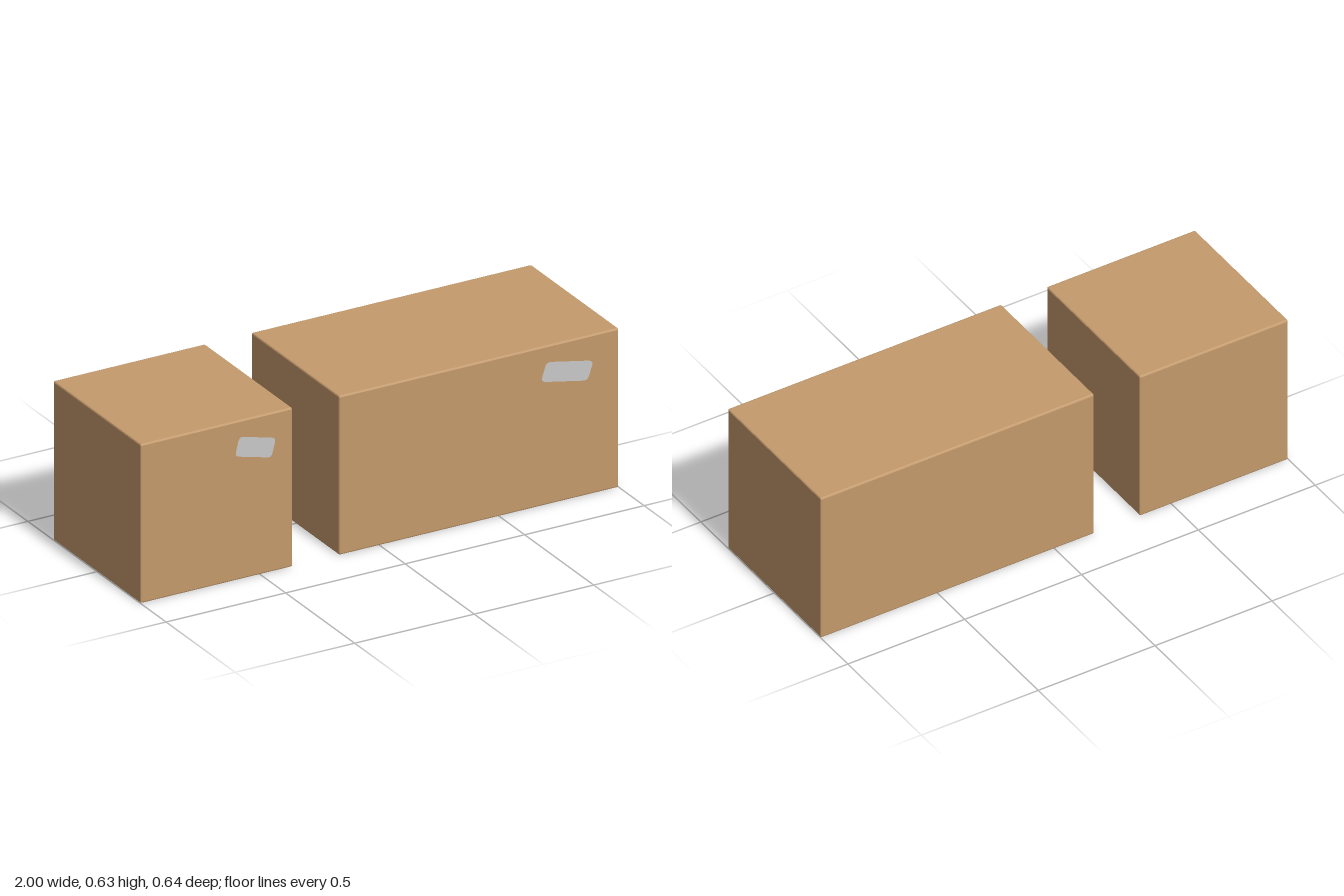
import * as THREE from 'three';
import { RoundedBoxGeometry } from 'three/addons/geometries/RoundedBoxGeometry.js';

const SIDE = 0.635;

// Small tilted label with rounded corners
function labelGeometry(w, h, r, stretch) {
  const x = w / 2, y = h / 2;
  const s = new THREE.Shape();
  s.moveTo(-x + r, -y);
  s.lineTo(x - r, -y);
  s.quadraticCurveTo(x, -y, x, -y + r);
  s.lineTo(x, y - r);
  s.quadraticCurveTo(x, y, x - r, y);
  s.lineTo(-x + r, y);
  s.quadraticCurveTo(-x, y, -x, y - r);
  s.lineTo(-x, -y + r);
  s.quadraticCurveTo(-x, -y, -x + r, -y);
  return new THREE.ShapeGeometry(s, 4).rotateZ(-0.25).scale(stretch, 1, 1);
}

export function createModel() {
  const model = new THREE.Group();
  model.name = 'cardboardBoxes';

  const cardboard = new THREE.MeshStandardMaterial({ color: 0xc49a6c });
  cardboard.name = 'cardboard';
  const labelGrey = new THREE.MeshStandardMaterial({ color: 0xc8c8c8 });
  labelGrey.name = 'labelGrey';

  const boxes = [
    { name: 'cubeBox', x0: -1, x1: -0.365, labelX: -0.521, stretch: 1 },
    { name: 'longBox', x0: -0.17, x1: 1, labelX: 0.783, stretch: 1.28 },
  ];

  for (const b of boxes) {
    const group = new THREE.Group();
    group.name = b.name;

    // Carton with finely bevelled, hard-shaded edges
    const geometry = new RoundedBoxGeometry(b.x1 - b.x0, SIDE, SIDE, 1, 0.006);
    geometry.computeVertexNormals();
    const carton = new THREE.Mesh(geometry, cardboard);
    carton.name = 'carton';
    carton.position.set((b.x0 + b.x1) / 2, SIDE / 2, 0);

    // Label on the front face
    const label = new THREE.Mesh(labelGeometry(0.158, 0.077, 0.018, b.stretch), labelGrey);
    label.name = 'label';
    label.position.set(b.labelX, 0.514, SIDE / 2 + 0.001);

    group.add(carton, label);
    model.add(group);
  }
  return model;
}
